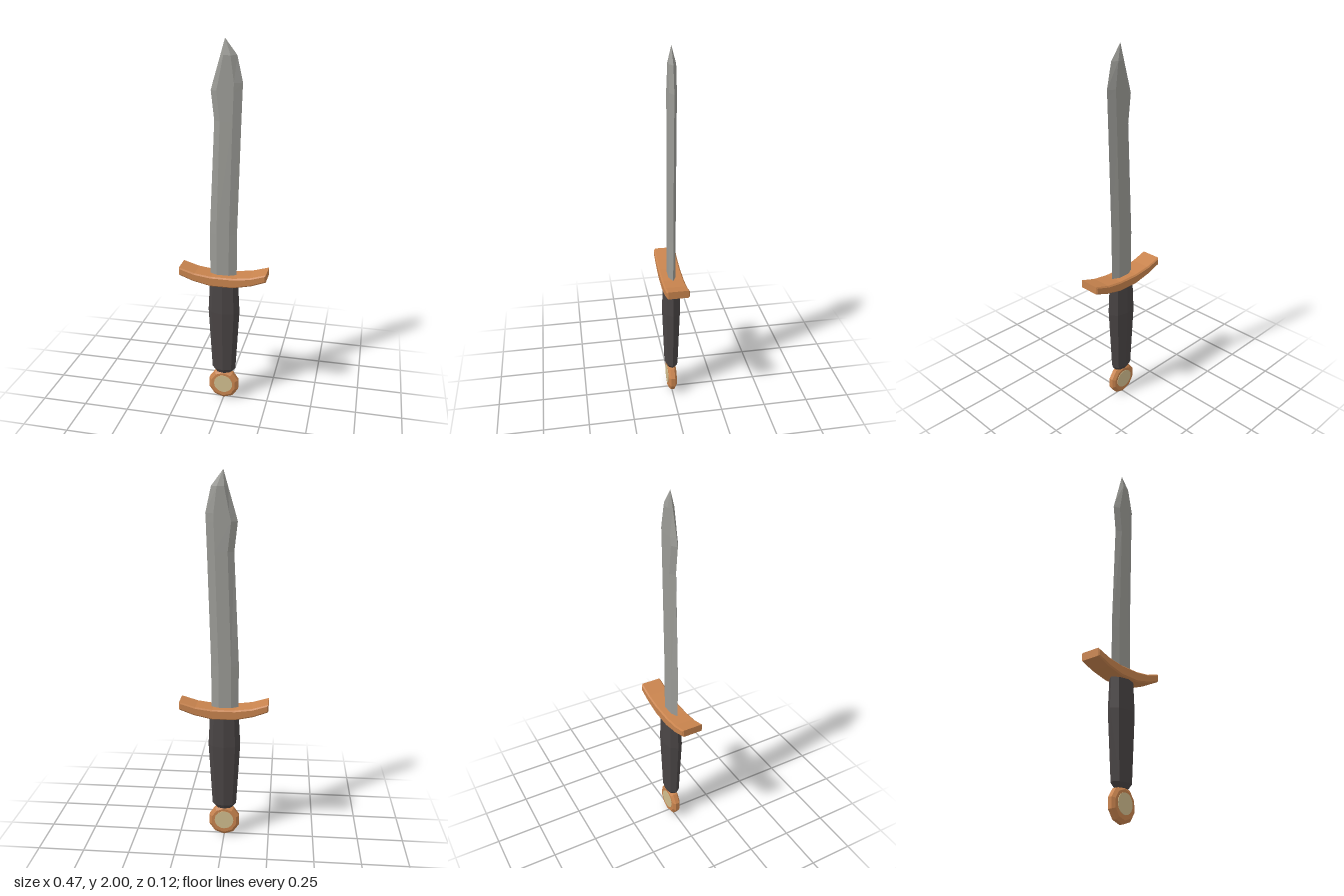
import * as THREE from 'three';

const mat = (name, color) => Object.assign(new THREE.MeshStandardMaterial({ color }), { name });

// Split shared vertices so every facet gets a hard edge
function faceted(geometry) {
  const g = geometry.index ? geometry.toNonIndexed() : geometry;
  g.computeVertexNormals();
  return g;
}

// Six-sided blade lofted through rows of [y, left edge, left ridge, right ridge, right edge, half thickness]
function bladeGeometry() {
  const rows = [
    [0.73, -0.075, -0.036, 0.03, 0.07, 0.019],
    [1.0, -0.077, -0.037, 0.03, 0.07, 0.019],
    [1.6, -0.05, -0.018, 0.047, 0.088, 0.019],
    [1.75, -0.067, -0.035, 0.052, 0.093, 0.019],
    [1.79, -0.056, -0.026, 0.053, 0.095, 0.019],
    [1.92, -0.018, 0.0, 0.036, 0.066, 0.018],
    [2.0, 0.005, 0.005, 0.005, 0.005, 0],
  ];
  const rings = rows.map(([y, l, a, b, r, t]) =>
    [[l, y, 0], [a, y, t], [b, y, t], [r, y, 0], [b, y, -t], [a, y, -t]]);
  const pos = [];
  for (let i = 0; i < rings.length - 1; i++) {
    for (let j = 0; j < 6; j++) {
      const k = (j + 1) % 6;
      const [a, b, c, d] = [rings[i][j], rings[i][k], rings[i + 1][k], rings[i + 1][j]];
      pos.push(...a, ...b, ...c);
      if (i < rings.length - 2) pos.push(...a, ...c, ...d);
    }
  }
  const g = new THREE.BufferGeometry();
  g.setAttribute('position', new THREE.Float32BufferAttribute(pos, 3));
  return faceted(g);
}

// Upward-curving bar with small chamfers
function guardGeometry() {
  const half = [[0.06, 0.714], [0.16, 0.736], [0.237, 0.765], [0.237, 0.807], [0.15, 0.781], [0.06, 0.769]];
  const mirrored = half.map(([x, y]) => [-x, y]).reverse();
  const shape = new THREE.Shape([...half, ...mirrored].map(([x, y]) => new THREE.Vector2(x, y)));
  const g = new THREE.ExtrudeGeometry(shape, {
    depth: 0.106, bevelThickness: 0.007, bevelSize: 0.007, bevelOffset: -0.007, bevelSegments: 1,
  });
  g.translate(0, 0, -0.053);
  return faceted(g);
}

const lathe = (profile, sides) =>
  new THREE.LatheGeometry(profile.map(([r, y]) => new THREE.Vector2(r, y)), sides);

export function createModel() {
  const steel = mat('steel', 0x9b9b96);
  const bronze = mat('bronze', 0xc9844e);
  const leather = mat('darkLeather', 0x4a4545);
  const inlay = mat('paleInlay', 0xd0bd8e);
  const model = new THREE.Group();
  model.name = 'sword';
  const add = (name, geometry, material) => {
    const mesh = new THREE.Mesh(geometry, material);
    mesh.name = name;
    model.add(mesh);
    return mesh;
  };

  add('blade', bladeGeometry(), steel);
  add('guard', guardGeometry(), bronze);

  // Flattened octagonal grip
  const grip = lathe([[0, 0.168], [0.045, 0.168], [0.066, 0.192], [0.087, 0.55], [0.078, 0.725], [0, 0.725]], 8);
  grip.scale(1, 1, 0.59);
  add('grip', faceted(grip), leather);

  // Chamfered pommel disc lying in the front plane
  const pommel = lathe([[0, -0.023], [0.073, -0.023], [0.09, -0.011], [0.09, 0.011], [0.073, 0.023], [0, 0.023]], 10);
  pommel.rotateX(Math.PI / 2).rotateZ(Math.PI).scale(0.97, 1, 1).translate(0, 0.09, 0);
  pommel.computeBoundingBox();
  pommel.translate(0, -pommel.boundingBox.min.y, 0);
  add('pommel', faceted(pommel), bronze);

  // Pale inlays on both pommel faces
  for (const side of [1, -1]) {
    const disc = new THREE.CylinderGeometry(0.053, 0.053, 0.004, 20);
    disc.rotateX(Math.PI / 2).translate(0, 0.094, side * 0.0235);
    add(side > 0 ? 'frontInlay' : 'backInlay', faceted(disc), inlay);
  }
  return model;
}
